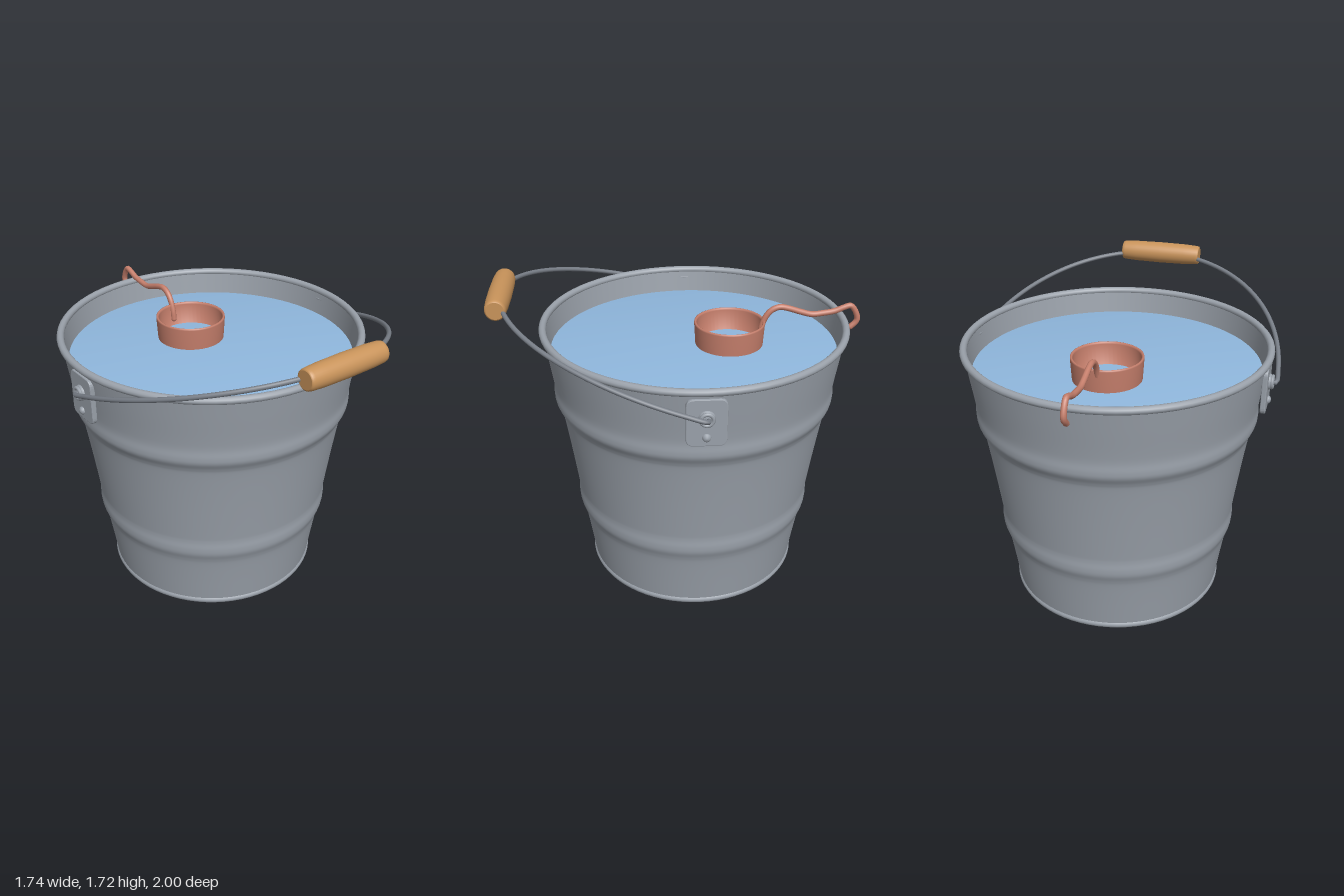
import * as THREE from 'three';

const mat = (name, color, side = THREE.FrontSide) => {
  const m = new THREE.MeshStandardMaterial({ color, side });
  m.name = name;
  return m;
};
const V2 = (p) => new THREE.Vector2(p[0], p[1]);
const V3 = (p) => new THREE.Vector3(p[0], p[1], p[2]);

export function createModel() {
  const steel = mat('galvanised steel', 0x9aa1aa, THREE.DoubleSide);
  const wire = mat('dark wire', 0x787e87);
  const wood = mat('wood', 0xc8935a);
  const copper = mat('copper', 0xc67f6c, THREE.DoubleSide);
  const water = mat('water', 0x90b8de);

  const model = new THREE.Group();
  model.name = 'bucket';
  const axisZ = -0.085;

  const add = (name, geometry, material, parent, x = 0, y = 0, z = 0) => {
    const mesh = new THREE.Mesh(geometry, material);
    mesh.name = name;
    mesh.position.set(x, y, z);
    parent.add(mesh);
    return mesh;
  };
  const lathe = (points, segments = 72) => new THREE.LatheGeometry(points.map((p) => (p.isVector2 ? p : V2(p))), segments);

  // Bucket body, turned around its own axis
  const pail = new THREE.Group();
  pail.name = 'pail';
  pail.position.z = axisZ;
  model.add(pail);

  const wall = new THREE.SplineCurve([
    [0.598, 0.035], [0.622, 0.2], [0.641, 0.32], [0.652, 0.365], [0.668, 0.41], [0.672, 0.45],
    [0.67, 0.5], [0.676, 0.56], [0.708, 0.8], [0.735, 0.98], [0.748, 1.03], [0.77, 1.075],
    [0.775, 1.11], [0.773, 1.16], [0.779, 1.22], [0.798, 1.35], [0.815, 1.47],
  ].map(V2)).getPoints(96);
  add('outerWall', lathe(wall), steel, pail);
  add('innerWall', lathe(wall.map((p) => new THREE.Vector2(p.x - 0.016, p.y)).reverse()), steel, pail);

  const rim = add('rolledRim', new THREE.TorusGeometry(0.815, 0.02, 12, 72), steel, pail, 0, 1.47, 0);
  rim.rotation.x = Math.PI / 2;

  // Bottom with a pressed centre and a folded edge
  add('baseDisc', lathe([[0, 0.002], [0.52, 0.002]]), steel, pail);
  add('baseFlange', lathe([[0.52, 0], [0.59, 0]]), steel, pail);
  add('baseLip', lathe([[0.59, 0], [0.6, 0.006], [0.605, 0.016], [0.605, 0.028], [0.597, 0.038]]), steel, pail);

  add('water', lathe([[0.778, 1.24], [0.783, 1.343], [0, 1.343]]), water, pail);

  // Side ears: rounded plate, eye for the bail and a rivet
  const plate = new THREE.Shape();
  const w = 0.095, h = 0.122, r = 0.035;
  plate.moveTo(-w + r, -h);
  plate.lineTo(w - r, -h).quadraticCurveTo(w, -h, w, -h + r);
  plate.lineTo(w, h - r).quadraticCurveTo(w, h, w - r, h);
  plate.lineTo(-w + r, h).quadraticCurveTo(-w, h, -w, h - r);
  plate.lineTo(-w, -h + r).quadraticCurveTo(-w, -h, -w + r, -h);
  const plateGeo = new THREE.ExtrudeGeometry(plate, {
    depth: 0.018, bevelEnabled: true, bevelSize: 0.005, bevelThickness: 0.005, bevelSegments: 2, curveSegments: 6,
  });
  const bossGeo = lathe([[0.042, 0], [0.04, 0.01], [0.03, 0.018], [0, 0.02]], 24).rotateX(Math.PI / 2);
  const rivetGeo = lathe([[0.022, 0], [0.019, 0.011], [0.011, 0.017], [0, 0.019]], 20).rotateX(Math.PI / 2);
  for (const side of [1, -1]) {
    const ear = new THREE.Group();
    ear.name = side > 0 ? 'leftEar' : 'rightEar';
    ear.position.set(side * 0.797, 0, axisZ);
    ear.rotation.y = side * Math.PI / 2;
    add('earPlate', plateGeo, steel, ear, 0, 1.308, 0);
    add('bailBoss', bossGeo, steel, ear, 0, 1.335, 0.022);
    add('bailEye', new THREE.TorusGeometry(0.03, 0.01, 8, 24), steel, ear, 0, 1.335, 0.04);
    add('rivet', rivetGeo, steel, ear, 0, 1.23, 0.022);
    model.add(ear);
  }

  // Half-ellipse wire bail, tipped forward, ends turned into the eyes
  const bail = [];
  const steps = 32;
  for (let i = 0; i <= steps; i++) {
    const a = (i / steps) * Math.PI;
    const s = Math.sin(a);
    bail.push(new THREE.Vector3(0.857 * Math.cos(a), 1.335 + 0.322 * s, axisZ + 1.02 * s));
  }
  bail.unshift(V3([0.81, 1.335, axisZ]), V3([0.845, 1.333, axisZ - 0.008]));
  bail.push(V3([-0.845, 1.333, axisZ - 0.008]), V3([-0.81, 1.335, axisZ]));
  add('bailWire', new THREE.TubeGeometry(new THREE.CatmullRomCurve3(bail), 140, 0.0125, 10), wire, model);

  // Turned wooden grip
  const grip = add('woodenGrip', lathe([
    [0, -0.24], [0.046, -0.24], [0.046, -0.24], [0.053, -0.236], [0.056, -0.22], [0.06, -0.15], [0.062, 0],
    [0.06, 0.15], [0.056, 0.22], [0.053, 0.236], [0.046, 0.24], [0.046, 0.24], [0, 0.24],
  ], 32), wood, model, 0, 1.657, 0.936);
  grip.rotation.z = Math.PI / 2;

  // Dipper: cup standing in the water, with its handle hooked over the rim
  const dipper = new THREE.Group();
  dipper.name = 'dipper';
  model.add(dipper);
  add('dipperCup', lathe([
    [0, 1.24], [0.172, 1.24], [0.18, 1.25], [0.193, 1.46], [0.192, 1.468], [0.186, 1.47],
    [0.18, 1.466], [0.179, 1.458], [0.168, 1.255], [0, 1.255],
  ], 48), copper, dipper, 0, 0, -0.28);

  const path = [
    [1.385, -0.45], [1.43, -0.456], [1.49, -0.478], [1.527, -0.51], [1.543, -0.55], [1.536, -0.595],
    [1.512, -0.67], [1.497, -0.73], [1.502, -0.79], [1.513, -0.855], [1.533, -0.905], [1.541, -0.94],
    [1.52, -0.962], [1.468, -0.983], [1.445, -0.976], [1.418, -0.95],
  ].map(([y, z]) => new THREE.Vector3(0, y, z));
  add('dipperHandle', new THREE.TubeGeometry(new THREE.CatmullRomCurve3(path), 90, 0.016, 10), copper, dipper);
  for (const end of [path[0], path[path.length - 1]]) {
    add('handleTip', new THREE.SphereGeometry(0.016, 10, 8), copper, dipper, end.x, end.y, end.z);
  }

  return model;
}
